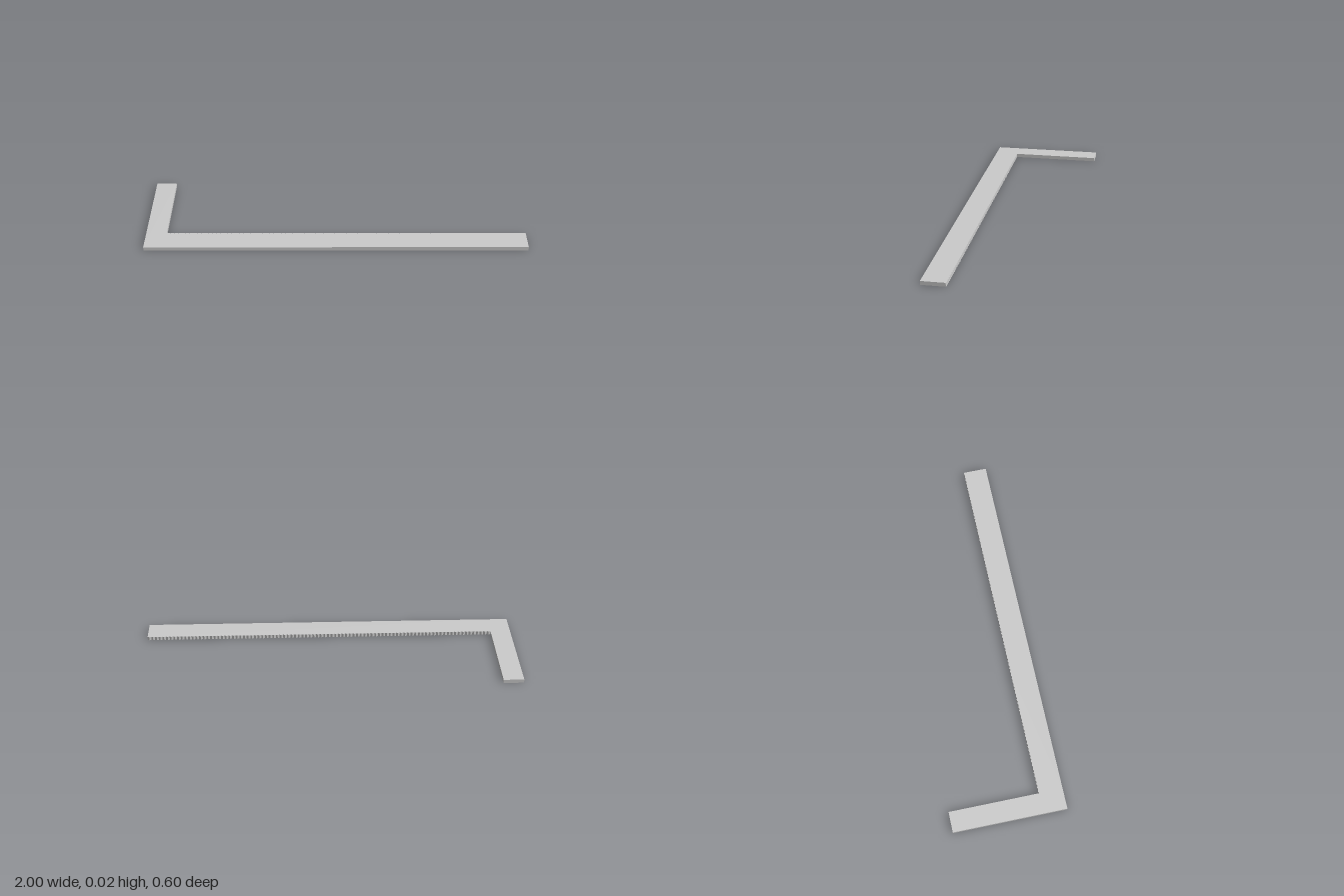
import * as THREE from 'three';

const HEIGHT = 0.02;

// Flat slab from a plan outline given as (x, z) points
function slab(name, points, material) {
  const shape = new THREE.Shape(points.map(([x, z]) => new THREE.Vector2(x, -z)));
  const geometry = new THREE.ExtrudeGeometry(shape, { depth: HEIGHT, bevelEnabled: false });
  geometry.rotateX(-Math.PI / 2);
  const mesh = new THREE.Mesh(geometry, material);
  mesh.name = name;
  return mesh;
}

export function createModel() {
  const group = new THREE.Group();
  group.name = 'cornerDeck';
  const material = new THREE.MeshStandardMaterial({ color: 0xcccccc, flatShading: true });

  const innerX = -0.892, front = 0.3, back = -0.3;

  // Short arm, including the corner
  group.add(slab('shortArm', [[-1, front], [innerX, front], [innerX, back], [-1, back]], material));

  // Long arm with a finely notched inner edge
  const teeth = 94, tip = 0.172, root = 0.176;
  const step = (1 - innerX) / teeth;
  const outline = [[innerX, front], [1, front]];
  for (let i = 0; i < teeth; i++) {
    outline.push([1 - i * step, root], [1 - (i + 0.5) * step, tip]);
  }
  outline.push([innerX, root]);
  group.add(slab('longArm', outline, material));

  return group;
}
